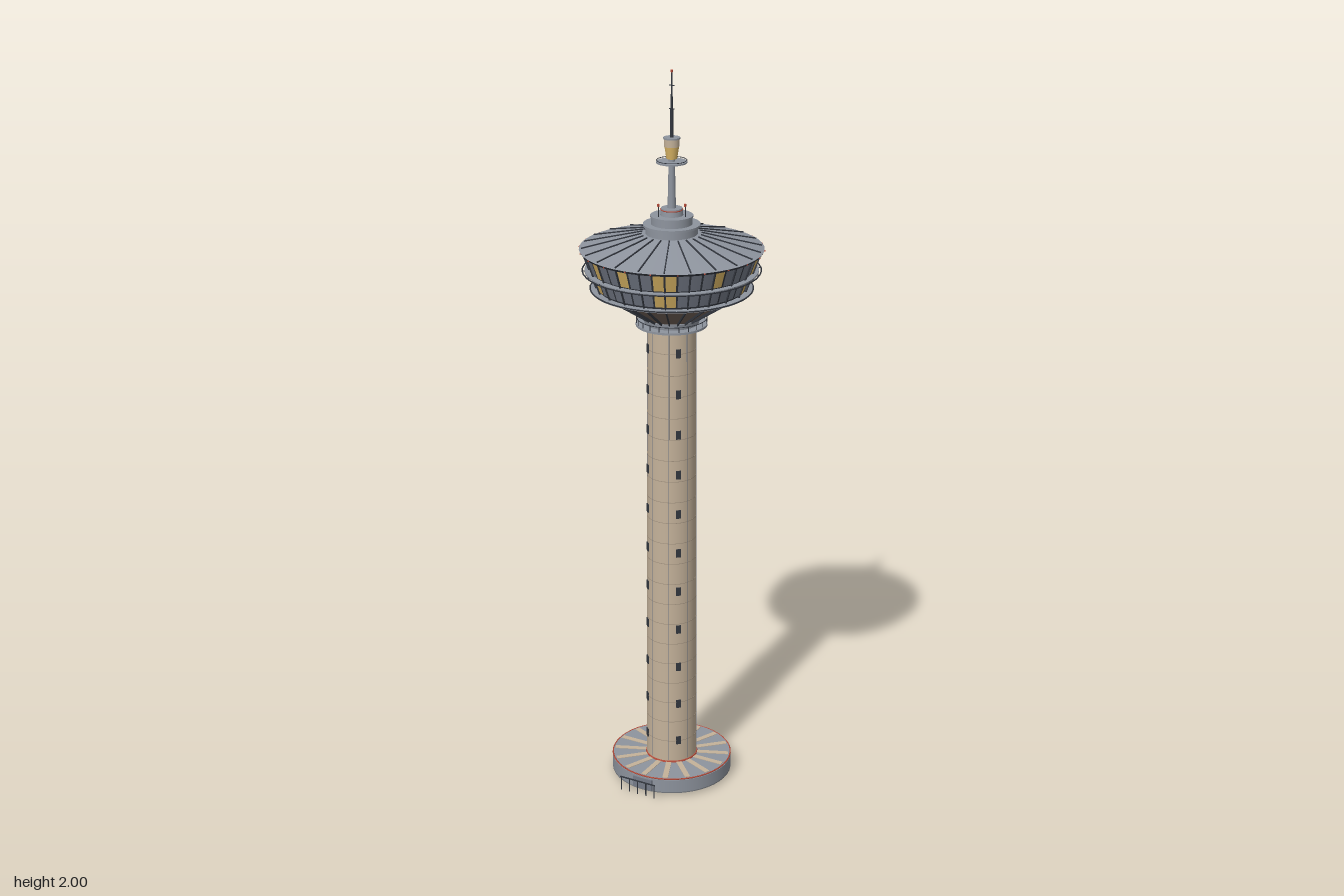
import * as THREE from 'three';

const mat = (name, color) => {
  const m = new THREE.MeshStandardMaterial({ color });
  m.name = name;
  return m;
};

export function createModel() {
  const concrete = mat('warm concrete', 0xc4b29a);
  const joint = mat('concrete joint', 0xa39380);
  const metal = mat('roof grey', 0x8e949e);
  const dark = mat('dark metal', 0x33373f);
  const soffit = mat('brown soffit', 0x74635a);
  const glass = mat('blue grey glass', 0x757b88);
  const lit = mat('lit glass', 0xdcb766);
  const red = mat('signal red', 0xb84c3a);
  const under = mat('underside grey', 0x74787e);

  const tower = new THREE.Group();
  tower.name = 'observationTower';
  const group = (name) => {
    const g = new THREE.Group();
    g.name = name;
    tower.add(g);
    return g;
  };
  const put = (parent, name, geo, material, x = 0, y = 0, z = 0) => {
    const m = new THREE.Mesh(geo, material);
    m.name = name;
    m.position.set(x, y, z);
    parent.add(m);
    return m;
  };
  // Round section from (r0, y0) up to (r1, y1)
  const drum = (parent, name, r0, y0, r1, y1, material, seg = 44) =>
    put(parent, name, new THREE.CylinderGeometry(r1, r0, y1 - y0, seg), material, 0, (y0 + y1) / 2);
  // Curved wall piece between two angles
  const wall = (parent, name, r0, y0, r1, y1, a, da, material) =>
    put(parent, name, new THREE.CylinderGeometry(r1, r0, y1 - y0, 2, 1, true, a, da), material, 0, (y0 + y1) / 2);
  // Flat-sided bar in a radial plane at angle a, measured from +x
  const bar = (parent, name, r0, y0, r1, y1, a, w, t, material) => {
    const arm = new THREE.Group();
    arm.name = name;
    arm.rotation.y = -a;
    parent.add(arm);
    const len = Math.hypot(r1 - r0, y1 - y0);
    const m = put(arm, name, new THREE.BoxGeometry(len, t, w), material, (r0 + r1) / 2, (y0 + y1) / 2);
    m.rotation.z = Math.atan2(y1 - y0, r1 - r0);
  };
  const rail = (parent, name, r, y, t, material) => {
    const m = put(parent, name, new THREE.TorusGeometry(r, t, 5, 44), material, 0, y);
    m.rotation.x = Math.PI / 2;
  };
  const around = (n, fn, start = 0) => {
    for (let i = 0; i < n; i++) fn(start + (i * 2 * Math.PI) / n, i);
  };

  // Ground pavilion
  const base = group('basePavilion');
  drum(base, 'foundation', 0.075, 0, 0.075, 0.012, under);
  drum(base, 'pavilionFloor', 0.167, 0.01, 0.167, 0.013, under);
  drum(base, 'pavilionWall', 0.167, 0.013, 0.167, 0.05, metal);
  drum(base, 'pavilionRoof', 0.165, 0.05, 0.165, 0.054, metal);
  rail(base, 'roofTrim', 0.1655, 0.053, 0.002, red);
  around(16, (a) => bar(base, 'roofStrip', 0.072, 0.0545, 0.16, 0.0545, a, 0.015, 0.002, concrete));

  // Free-standing entrance rail
  const gate = group('entranceRail');
  put(gate, 'gateBeam', new THREE.BoxGeometry(0.11, 0.003, 0.003), dark, 0, 0.05, 0.194);
  put(gate, 'entranceDoor', new THREE.BoxGeometry(0.06, 0.032, 0.006), glass, 0, 0.03, 0.165);
  for (const x of [-0.052, -0.026, 0, 0.026, 0.052])
    put(gate, 'gatePost', new THREE.CylinderGeometry(0.0015, 0.0015, 0.04, 6), dark, x, 0.03, 0.194);

  // Tapered shaft with casting joints and four columns of small windows
  const shaft = group('shaft');
  const shaftR = (y) => 0.07 - 0.0055 * (y / 1.34);
  drum(shaft, 'shaftWall', shaftR(0.05), 0.05, shaftR(1.35), 1.35, concrete, 32);
  drum(shaft, 'shaftFoot', 0.073, 0.053, 0.072, 0.058, red, 32);
  for (let y = 0.12; y < 1.32; y += 0.06)
    drum(shaft, 'ringJoint', shaftR(y) + 0.0004, y - 0.0008, shaftR(y) + 0.0004, y + 0.0008, joint, 32);
  around(8, (a) => bar(shaft, 'uprightJoint', shaftR(0.06), 0.06, shaftR(1.33), 1.33, a, 0.002, 0.001, glass), Math.PI / 8);
  around(4, (a) => {
    for (let i = 0; i < 11; i++) {
      const y = 0.122 + i * 0.114;
      const r = shaftR(y);
      bar(shaft, 'shaftWindow', r, y - 0.012, r, y + 0.012, a, 0.013, 0.004, dark);
    }
  }, Math.PI / 4);

  // Small service balcony
  const balcony = group('serviceBalcony');
  drum(balcony, 'balconyDeck', 0.095, 1.323, 0.095, 1.329, metal);
  drum(balcony, 'collar', 0.072, 1.329, 0.075, 1.345, metal);
  rail(balcony, 'balconyRail', 0.093, 1.343, 0.001, dark);
  around(22, (a) => bar(balcony, 'balconyPost', 0.093, 1.327, 0.093, 1.343, a, 0.0015, 0.0015, dark));

  // Flared underside with ribs
  const bowl = group('podUnderside');
  drum(bowl, 'flare', 0.066, 1.342, 0.172, 1.412, soffit);
  drum(bowl, 'flareRim', 0.172, 1.412, 0.195, 1.424, soffit);
  around(22, (a) => bar(bowl, 'flareRib', 0.068, 1.341, 0.175, 1.411, a, 0.003, 0.007, dark));

  // Glazed pod: two rows of panes on a leaning wall, some lit
  const pod = group('viewingPod');
  const podR = (y) => 0.196 + ((y - 1.425) / 0.105) * 0.038;
  drum(pod, 'podCore', podR(1.424) - 0.003, 1.424, podR(1.53) - 0.003, 1.53, dark);
  const panes = 44;
  const step = (2 * Math.PI) / panes;
  const rows = [
    { y0: 1.432, y1: 1.468, bright: [2, 3, 11, 16, 22, 27, 33, 39] },
    { y0: 1.48, y1: 1.525, bright: [2, 3, 7, 12, 13, 17, 20, 26, 30, 35, 40, 43] },
  ];
  for (const { y0, y1, bright } of rows)
    around(panes, (a, i) =>
      wall(pod, 'pane', podR(y0), y0, podR(y1), y1, a + step * 0.08, step * 0.84, bright.includes(i) ? lit : glass));
  around(22, (a) => bar(pod, 'mullion', podR(1.425) + 0.001, 1.425, podR(1.53) + 0.001, 1.53, a, 0.003, 0.005, dark));
  drum(pod, 'lowerGallery', 0.212, 1.421, 0.212, 1.426, metal);
  rail(pod, 'lowerGalleryRail', 0.214, 1.425, 0.002, dark);
  drum(pod, 'upperGallery', 0.228, 1.472, 0.228, 1.476, metal);
  rail(pod, 'upperGalleryRail', 0.234, 1.474, 0.002, dark);
  around(22, (a) => bar(pod, 'railBracket', 0.2, 1.474, 0.234, 1.474, a, 0.002, 0.002, dark));

  // Shallow conical roof with standing seams
  const roof = group('roof');
  drum(roof, 'roofEdge', 0.238, 1.526, 0.242, 1.532, dark);
  drum(roof, 'roofCone', 0.242, 1.532, 0.074, 1.572, metal);
  around(22, (a) => {
    bar(roof, 'roofSeam', 0.078, 1.572, 0.236, 1.5345, a, 0.003, 0.004, dark);
    bar(roof, 'rimLight', 0.24, 1.53, 0.2435, 1.53, a + step, 0.003, 0.003, red);
  });

  // Stepped crown
  const crown = group('crown');
  drum(crown, 'crownDrum', 0.068, 1.56, 0.068, 1.592, metal);
  drum(crown, 'crownLip', 0.075, 1.592, 0.075, 1.598, metal);
  drum(crown, 'middleDrum', 0.054, 1.598, 0.054, 1.618, metal);
  drum(crown, 'middleLip', 0.056, 1.616, 0.056, 1.621, metal);
  drum(crown, 'topDrum', 0.03, 1.621, 0.028, 1.64, metal);
  rail(crown, 'topBand', 0.0285, 1.636, 0.0015, red);
  around(3, (a) => {
    bar(crown, 'beaconPost', 0.04, 1.62, 0.04, 1.648, a, 0.002, 0.002, dark);
    bar(crown, 'beacon', 0.04, 1.648, 0.04, 1.655, a, 0.005, 0.005, red);
  });

  // Mast, lantern and antenna
  const mast = group('mast');
  drum(mast, 'mastTube', 0.011, 1.638, 0.008, 1.77, metal, 12);
  drum(mast, 'mastDeck', 0.04, 1.759, 0.04, 1.763, metal, 24);
  rail(mast, 'mastDeckRail', 0.039, 1.766, 0.001, dark);
  drum(mast, 'lantern', 0.014, 1.77, 0.019, 1.802, lit, 16);
  drum(mast, 'lanternBand', 0.02, 1.802, 0.02, 1.806, concrete, 16);
  drum(mast, 'lanternTop', 0.02, 1.806, 0.02, 1.823, concrete, 16);
  drum(mast, 'lanternLid', 0.022, 1.822, 0.022, 1.826, metal, 16);
  drum(mast, 'antennaLower', 0.005, 1.826, 0.004, 1.9, dark, 8);
  drum(mast, 'antennaUpper', 0.003, 1.9, 0.002, 1.995, dark, 8);
  drum(mast, 'antennaTip', 0.003, 1.994, 0.003, 2, red, 8);
  for (const y of [1.9, 1.96])
    put(mast, 'antennaCrossbar', new THREE.BoxGeometry(0.014, 0.002, 0.002), dark, 0, y);

  return tower;
}
